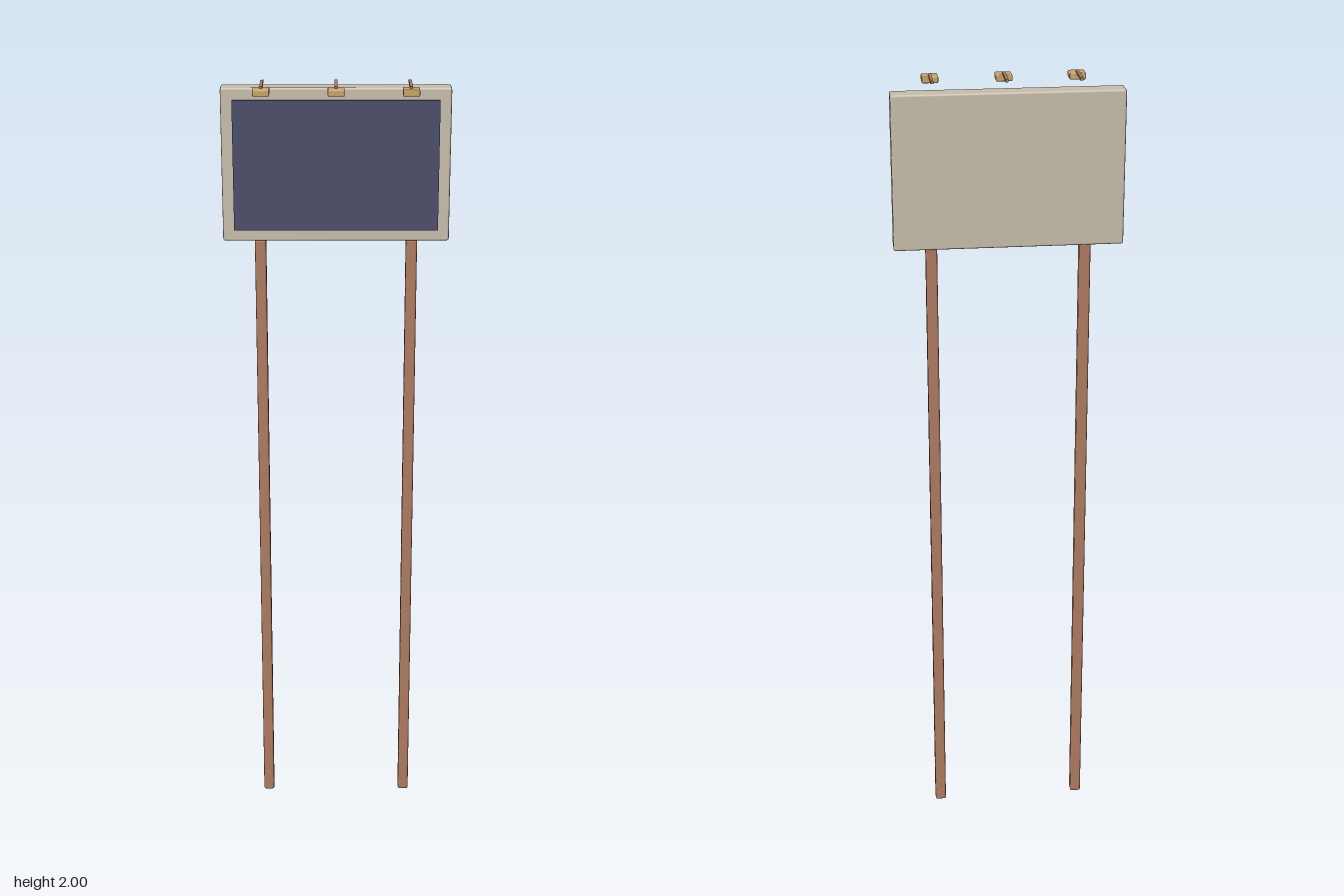
import * as THREE from 'three';
import { RoundedBoxGeometry } from 'three/addons/geometries/RoundedBoxGeometry.js';

const mat = (name, color) => {
  const m = new THREE.MeshStandardMaterial({ color });
  m.name = name;
  return m;
};

export function createModel() {
  const group = new THREE.Group();
  const cream = mat('cream', 0xc9bfad);
  const slate = mat('slate blue', 0x4a4e69);
  const copper = mat('copper brown', 0xb07d62);
  const tan = mat('tan', 0xc9a66b);

  // Adds a box, with softly chamfered edges when a bevel is given
  const addBox = (name, material, [w, h, d], [x, y, z], bevel = 0) => {
    const geometry = bevel
      ? new RoundedBoxGeometry(w, h, d, 1, bevel)
      : new THREE.BoxGeometry(w, h, d);
    const mesh = new THREE.Mesh(geometry, material);
    mesh.name = name;
    mesh.position.set(x, y, z);
    group.add(mesh);
  };

  // Board and its display panel
  addBox('board', cream, [0.56, 0.38, 0.05], [0, 1.79, -0.052], 0.005);
  addBox('panel', slate, [0.504, 0.323, 0.006], [0, 1.79, -0.024]);

  // Pair of tall posts
  for (const side of [-1, 1]) {
    addBox(side > 0 ? 'leftPost' : 'rightPost', copper,
      [0.028, 1.6, 0.028], [side * 0.188, 0.8, -0.05], 0.005);
  }

  // Three lamps, each hanging from a thin arm
  ['right', 'middle', 'left'].forEach((place, i) => {
    const x = (i - 1) * 0.178;
    addBox(place + 'LampArm', copper, [0.007, 0.007, 0.082], [x, 1.9965, 0.013]);
    addBox(place + 'Lamp', tan, [0.04, 0.016, 0.04], [x, 1.988, 0.054], 0.003);
  });

  return group;
}
